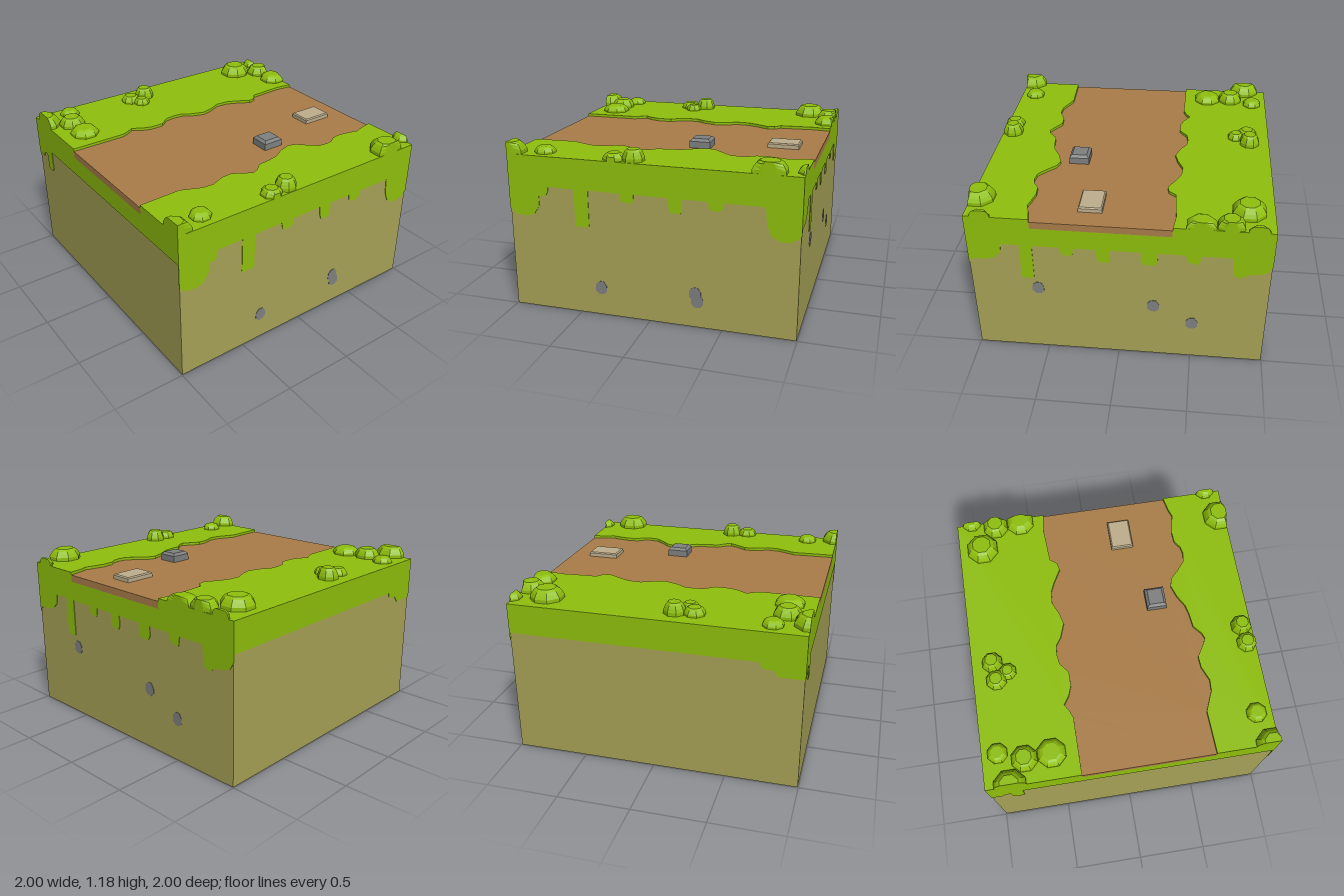
import * as THREE from 'three';

const mat = (name, color) => {
  const m = new THREE.MeshStandardMaterial({ color });
  m.name = name;
  return m;
};

const TOP = 1.1, PATH_TOP = 1.08, PATH_BASE = 1.03, HEM = 0.89;

// Path borders as [x, z]
const backEdge = [[-1, -.35], [-.6, -.35], [-.55, -.37], [-.5, -.4], [-.44, -.36], [-.37, -.335], [-.27, -.335],
  [-.2, -.39], [-.13, -.4], [-.06, -.395], [0, -.355], [.1, -.32], [.18, -.34], [.27, -.38], [.36, -.375],
  [.43, -.345], [.53, -.29], [.58, -.3], [.62, -.35], [.8, -.36], [.87, -.365], [1, -.35]];
const frontEdge = [[-1, .57], [-.7, .56], [-.63, .59], [-.56, .62], [-.48, .625], [-.38, .585], [-.3, .58],
  [-.22, .63], [-.17, .655], [-.13, .64], [-.07, .59], [.03, .58], [.1, .565], [.18, .52], [.27, .49], [.33, .51],
  [.38, .56], [.45, .62], [.52, .63], [.57, .62], [.62, .585], [.7, .58], [.8, .6], [.84, .61], [.9, .59], [1, .57]];

// Lower hems of the grass: front and back use [x, y], sides use [z, y]
const frontHem = [[-1, .72], [-.96, .68], [-.88, .67], [-.82, .69], [-.78, .75], [-.78, .82], [-.73, .82], [-.71, .86],
  [-.71, HEM], [-.52, HEM], [-.52, .64], [-.51, .63], [-.43, .63], [-.42, .64], [-.42, HEM], [-.2, HEM], [-.19, .84],
  [-.16, .83], [-.12, .83], [-.1, .85], [-.1, HEM], [.13, HEM], [.14, .82], [.15, .79], [.22, .79], [.23, .82],
  [.23, HEM], [.4, HEM], [.41, .84], [.44, .83], [.47, .83], [.5, .85], [.5, HEM], [.77, HEM], [.78, .77],
  [.81, .7], [.87, .67], [.92, .67], [.97, .69], [1, .72]];
const rightHem = [[1, .73], [.98, .74], [.97, .76], [.88, .76], [.82, .78], [.78, .82], [.77, HEM], [.65, HEM],
  [.65, .63], [.63, .62], [.58, .62], [.565, .63], [.565, HEM], [.38, HEM], [.37, .83], [.3, .83], [.29, HEM],
  [.14, HEM], [.14, .82], [.12, .79], [.06, .79], [.05, .82], [.05, HEM], [-.15, HEM], [-.15, .82], [-.17, .79],
  [-.24, .79], [-.26, .82], [-.26, HEM], [-.44, HEM], [-.46, .83], [-.53, .82], [-.54, HEM], [-.74, HEM],
  [-.75, .75], [-.8, .73], [-.82, .74], [-.85, .76], [-.92, .77], [-.97, .79], [-1, .84]];
const leftHem = [[-1, .8], [-.92, .8], [-.9, .84], [-.86, .84], [-.85, .73], [-.83, .72], [-.79, .72], [-.77, .74],
  [-.77, HEM], [1, HEM]];
const backHem = [[1, HEM], [-.71, HEM], [-.72, .85], [-.8, .84], [-.83, .8], [-1, .8]];

// Stepped eight-sided mound, trimmed flat at the edge of the block
function moundGeometry(x, z, r, h) {
  const profile = [[1, -.1], [1, .3], [.88, .6], [.76, .82], [.58, 1], [0, 1]]
    .map(([a, b]) => new THREE.Vector2(a * r * 1.06, b * h));
  const g = new THREE.LatheGeometry(profile, 8, Math.PI / 8).toNonIndexed();
  g.translate(x, TOP, z);
  const p = g.attributes.position;
  for (let i = 0; i < p.count; i++) {
    p.setX(i, THREE.MathUtils.clamp(p.getX(i), -1, 1));
    p.setZ(i, THREE.MathUtils.clamp(p.getZ(i), -1, 1));
  }
  g.computeVertexNormals();
  return g;
}

// Block with bevelled edges, standing on y = 0
function bevelledBlock(w, h, d, b) {
  const x = w / 2 - b, y = d / 2 - b;
  const s = new THREE.Shape([[-x, -y], [x, -y], [x, y], [-x, y]].map(p => new THREE.Vector2(...p)));
  const g = new THREE.ExtrudeGeometry(s, { depth: h - 2 * b, bevelThickness: b, bevelSize: b, bevelSegments: 1 });
  return g.rotateX(-Math.PI / 2).translate(0, b, 0);
}

export function createModel() {
  const model = new THREE.Group();
  const grass = mat('grass green', 0x8fc00c);
  const dirt = mat('olive dirt', 0xa7a257);
  const earth = mat('path brown', 0xaa7d49);
  const grey = mat('stone grey', 0x7f8080);
  const sand = mat('pale stone', 0xbeae8c);

  const add = (name, geometry, material, x = 0, y = 0, z = 0) => {
    const m = new THREE.Mesh(geometry, material);
    m.name = name;
    m.position.set(x, y, z);
    model.add(m);
    return m;
  };

  // Dirt block
  add('dirtBlock', new THREE.BoxGeometry(1.992, PATH_BASE, 1.992), dirt, 0, PATH_BASE / 2, 0);

  // Ground slabs from [x, z] outlines
  const slab = (name, outline, top, material) => {
    const s = new THREE.Shape(outline.map(([x, z]) => new THREE.Vector2(x, -z)));
    const g = new THREE.ExtrudeGeometry(s, { depth: top - PATH_BASE, bevelEnabled: false });
    add(name, g.rotateX(-Math.PI / 2), material, 0, PATH_BASE, 0);
  };
  slab('backLawn', [...backEdge, [1, -1], [-1, -1]], TOP, grass);
  slab('frontLawn', [...frontEdge, [1, 1], [-1, 1]], TOP, grass);
  slab('path', [...backEdge, ...[...frontEdge].reverse()], PATH_TOP, earth);

  // Hanging grass on the four walls; the side walls are notched for the path
  const skirt = (name, hem, sign, notch, angle) => {
    const a = hem.map(([u, y]) => new THREE.Vector2(u * sign, y));
    const top = notch
      ? [[-1, TOP], [-.35, TOP], [-.35, PATH_BASE], [.57, PATH_BASE], [.57, TOP], [1, TOP]]
      : [[-1, TOP], [1, TOP]];
    const b = top.map(([u, y]) => new THREE.Vector2(u * sign, y)).sort((p, q) => q.x - p.x);
    // keep the notch walls in order after sorting
    if (notch) {
      b[1].y = TOP; b[2].y = PATH_BASE; b[3].y = PATH_BASE; b[4].y = TOP;
    }
    const g = new THREE.ExtrudeGeometry(new THREE.Shape([...a, ...b]), { depth: .006, bevelEnabled: false });
    add(name, g.translate(0, 0, .994), grass).rotation.y = angle;
  };
  skirt('frontGrassHem', frontHem, 1, false, 0);
  skirt('rightWallGrassHem', rightHem, -1, true, Math.PI / 2);
  skirt('leftWallGrassHem', leftHem, 1, true, -Math.PI / 2);
  skirt('backGrassHem', backHem, -1, false, Math.PI);

  // Grass mounds [x, z, radius, height], repeated along x and z
  const corner = [[-1, -.83, .11, .08], [-.765, -.89, .068, .045], [-.83, -.715, .088, .07], [-.82, -.53, .097, .055]];
  const middle = [[-.25, -.84, .07, .05], [-.12, -.855, .07, .08], [-.2, -.755, .058, .045]];
  const mound = ([x, z, r, h], dx, dz) => add('grassMound', moundGeometry(x + dx, z + dz, r, h), grass);
  for (const dx of [0, 1.78]) {
    corner.forEach(m => mound(m, dx, 0));
    corner.slice(0, 2).forEach(m => mound(m, dx, 1.78));
  }
  middle.forEach(m => mound(m, 0, 0));
  middle.slice(0, 2).forEach(m => mound(m, 0, 1.78));

  // Stones on the path
  add('greyStone', bevelledBlock(.15, .085, .14, .018), grey, .185, 1.06, .36);
  add('paleSlab', bevelledBlock(.22, .05, .16, .008), sand, .745, 1.065, .195);

  // Pebbles set into the walls: [u, y] with u running rightwards on each wall
  const outline = [[-.4, -1], [.4, -1], [.95, -.55], [.95, .3], [.45, 1], [-.35, 1], [-.95, .45], [-.95, -.5]];
  const pebble = (u, y, angle) => {
    const s = new THREE.Shape(outline.map(([a, b]) => new THREE.Vector2(u + a * .042, y + b * .047)));
    const g = new THREE.ExtrudeGeometry(s, { depth: .004, bevelEnabled: false });
    add('wallPebble', g.translate(0, 0, .995), grey).rotation.y = angle;
  };
  [[-.35, .2], [.315, .24], [.33, .19]].forEach(([u, y]) => pebble(u, y, 0));
  [[-.545, .535], [.235, .44], [.5, .305]].forEach(([u, y]) => pebble(u, y, Math.PI / 2));

  return model;
}
